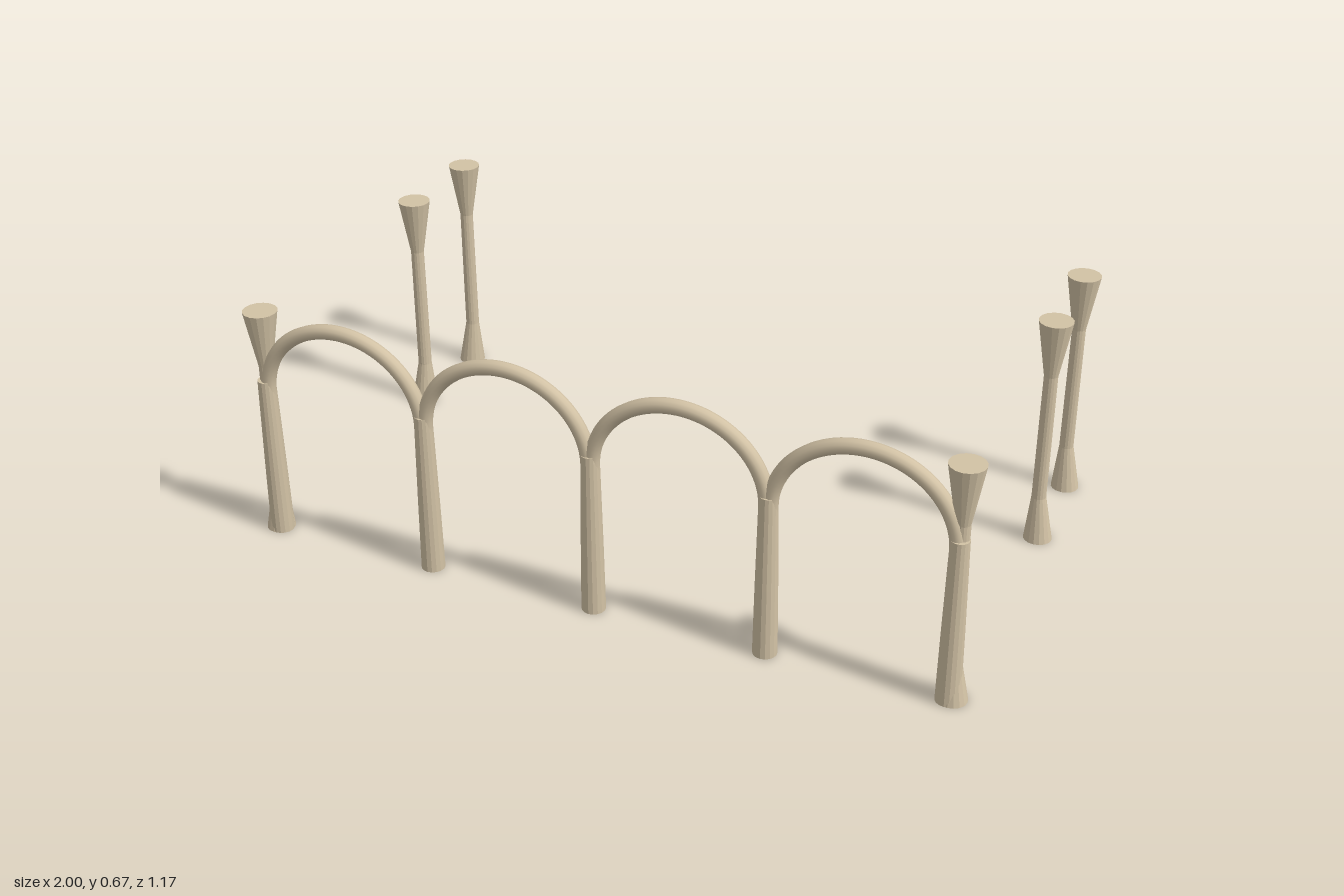
import * as THREE from 'three';

export function createModel() {
  const model = new THREE.Group();
  const stone = new THREE.MeshStandardMaterial({ color: 0xd2c2a5, flatShading: true });
  const smoothStone = new THREE.MeshStandardMaterial({ color: 0xd2c2a5 });

  const add = (name, geometry, material, x, y, z) => {
    const mesh = new THREE.Mesh(geometry, material);
    mesh.name = name;
    mesh.position.set(x, y, z);
    model.add(mesh);
    return mesh;
  };

  // Solid turned column: [radius, height] rings closed at both ends
  const turned = (rings) => new THREE.LatheGeometry(
    [[0, rings[0][1]], ...rings, [0, rings[rings.length - 1][1]]].map(([r, y]) => new THREE.Vector2(r, y)), 16);

  // Six flared columns, the feet set slightly outwards
  for (const side of [-1, 1]) {
    const geometry = turned([[0.039, 0], [0.02, 0.13], [0.019, 0.5], [0.046, 0.66]]);
    const p = geometry.attributes.position;
    for (let i = 0; i < p.count; i++) {
      if (p.getY(i) < 0.01) p.setX(i, p.getX(i) + side * 0.007);
    }
    geometry.computeVertexNormals();
    [['front', 0.539], ['middle', -0.243], ['rear', -0.538]].forEach(([row, z]) =>
      add(`${row}Column${side > 0 ? 'Left' : 'Right'}`, geometry, stone, side * 0.952, 0, z));
  }

  // Arcade: five tapered posts carrying four arches
  const spacing = 0.475, arcadeZ = 0.546;
  const post = turned([[0.032, 0], [0.029, 0.2], [0.024, 0.46]]);
  for (let i = -2; i <= 2; i++) add('arcadePost', post, stone, i * spacing, 0, arcadeZ);

  // Half-ellipse arch with short straight legs buried in the posts
  const points = [new THREE.Vector3(-0.2325, -0.03, 0)];
  for (let i = 0; i <= 24; i++) {
    const a = Math.PI * (1 - i / 24);
    points.push(new THREE.Vector3(0.2325 * Math.cos(a), 0.216 * Math.sin(a), 0));
  }
  points.push(new THREE.Vector3(0.2325, -0.03, 0));
  const arch = new THREE.TubeGeometry(new THREE.CatmullRomCurve3(points), 48, 0.02, 12);
  for (let i = -1.5; i <= 1.5; i++) add('arch', arch, smoothStone, i * spacing, 0.43, arcadeZ);

  return model;
}
